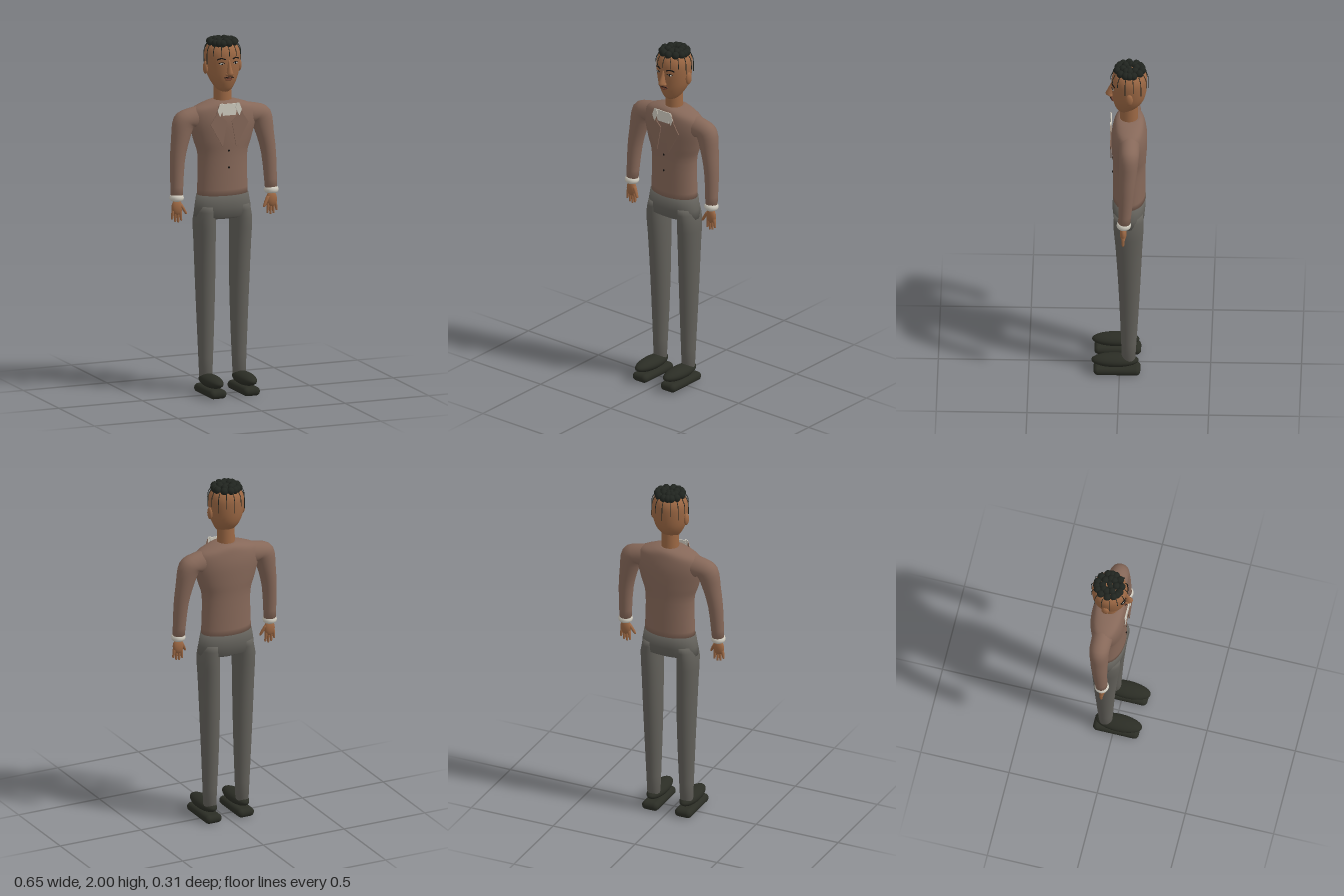
import * as THREE from 'three';
import { RoundedBoxGeometry } from 'three/addons/geometries/RoundedBoxGeometry.js';

const mat = (name, color, side = THREE.FrontSide) => {
  const m = new THREE.MeshStandardMaterial({ color, side });
  m.name = name;
  return m;
};

// Closed body through rings [x, y, z, rx, rz, tilt], listed from bottom to top.
function loft(rings, n = 32, steps = 1, power = 1) {
  const list = [];
  for (let i = 0; i < rings.length - 1; i++) {
    const at = k => rings[Math.min(Math.max(k, 0), rings.length - 1)];
    for (let s = 0; s < steps; s++) {
      const t = s / steps;
      list.push([0, 1, 2, 3, 4, 5].map(c => {
        const [a, b, d, e] = [at(i - 1), at(i), at(i + 1), at(i + 2)].map(r => r[c] || 0);
        return b + 0.5 * t * (d - a + t * (2 * a - 5 * b + 4 * d - e + t * (3 * (b - d) + e - a)));
      }));
    }
  }
  list.push(rings[rings.length - 1]);
  const pos = [], idx = [];
  for (const [x, y, z, rx, rz, tilt = 0] of list) {
    for (let j = 0; j < n; j++) {
      const a = j / n * Math.PI * 2, c = Math.cos(a), s = Math.sin(a);
      const u = Math.sign(c) * Math.abs(c) ** power * rx;
      pos.push(x + u * Math.cos(tilt), y + u * Math.sin(tilt), z + Math.sign(s) * Math.abs(s) ** power * rz);
    }
  }
  for (let i = 0; i < list.length - 1; i++) {
    for (let j = 0; j < n; j++) {
      const a = i * n + j, b = i * n + (j + 1) % n;
      idx.push(a, a + n, b, b, a + n, b + n);
    }
  }
  // End caps
  const first = list[0], last = list[list.length - 1], top = (list.length - 1) * n, c = list.length * n;
  pos.push(...first.slice(0, 3), ...last.slice(0, 3));
  for (let j = 0; j < n; j++) {
    const k = (j + 1) % n;
    idx.push(c, j, k, c + 1, top + k, top + j);
  }
  const g = new THREE.BufferGeometry();
  g.setAttribute('position', new THREE.Float32BufferAttribute(pos, 3));
  g.setIndex(idx);
  g.computeVertexNormals();
  return g;
}

const tube = (pts, r, seg = 8) => new THREE.TubeGeometry(
  new THREE.CatmullRomCurve3(pts.map(p => new THREE.Vector3(...p))), seg, r, 6);

function plate(points, depth = 0.005) {
  const shape = new THREE.Shape(points.map(p => new THREE.Vector2(...p)));
  return new THREE.ExtrudeGeometry(shape, { depth, bevelEnabled: false });
}

export function createModel() {
  const model = new THREE.Group();
  const jacket = mat('jacket brown', 0x866859), trousers = mat('trouser grey', 0x62605a);
  const skin = mat('skin', 0x9c6844), black = mat('hair black', 0x20241f);
  const leather = mat('shoe black', 0x2b2d25), white = mat('shirt white', 0xd0ccc0);
  const dark = mat('dark detail', 0x14110f), lip = mat('lip brown', 0x6e3f2e);

  const add = (name, geometry, material, p = [0, 0, 0]) => {
    const m = new THREE.Mesh(geometry, material);
    m.name = name;
    m.position.set(...p);
    model.add(m);
    return m;
  };
  const ball = (name, material, p, s, seg = 16) => {
    const m = add(name, new THREE.SphereGeometry(1, seg, Math.ceil(seg * 0.7)), material, p);
    m.scale.set(...s);
    return m;
  };

  // Jacket body and trouser seat
  add('jacket', loft([
    [0, 1.11, -0.052, 0.148, 0.09], [0, 1.33, -0.052, 0.143, 0.09], [0, 1.43, -0.052, 0.17, 0.096],
    [0, 1.53, -0.052, 0.195, 0.098], [0, 1.6, -0.052, 0.185, 0.088], [0, 1.635, -0.052, 0.11, 0.076],
    [0, 1.65, -0.052, 0.05, 0.055],
  ], 40, 4), jacket);
  add('trouserSeat', loft([
    [0, 0.985, -0.05, 0.12, 0.06], [0, 1.0, -0.05, 0.166, 0.085], [0, 1.05, -0.05, 0.162, 0.09],
    [0, 1.12, -0.052, 0.149, 0.091],
  ], 40, 1, 0.9), trousers);

  // Neck and head
  add('neck', new THREE.CylinderGeometry(0.048, 0.05, 0.13, 24), skin, [0, 1.695, -0.05]);
  add('head', loft([
    [0, 1.695, -0.03, 0.02, 0.025], [0, 1.715, -0.03, 0.045, 0.048], [0, 1.76, -0.043, 0.073, 0.078],
    [0, 1.81, -0.05, 0.091, 0.092], [0, 1.88, -0.052, 0.1, 0.098], [0, 1.93, -0.053, 0.096, 0.094],
    [0, 1.965, -0.054, 0.072, 0.072], [0, 1.98, -0.054, 0.02, 0.02],
  ], 32, 4), skin);
  add('nose', loft([
    [0, 1.798, 0.045, 0.012, 0.015], [0, 1.806, 0.053, 0.019, 0.025], [0, 1.82, 0.054, 0.016, 0.023],
    [0, 1.85, 0.047, 0.01, 0.016], [0, 1.885, 0.038, 0.006, 0.01],
  ], 16, 2), skin);
  ball('upperLip', lip, [0, 1.786, 0.04], [0.028, 0.006, 0.014]);
  ball('lowerLip', lip, [0, 1.774, 0.037], [0.022, 0.006, 0.012]);
  add('moustache', tube([[-0.028, 1.785, 0.043], [0, 1.793, 0.054], [0.028, 1.785, 0.043]], 0.0025), dark);

  // Curled hair on the crown
  for (const [count, radius, y, size] of [[14, 0.068, 1.971, 0.022], [8, 0.038, 1.979, 0.021], [2, 0.008, 1.974, 0.018]]) {
    for (let i = 0; i < count; i++) {
      const a = (i + 0.3 * Math.sin(i * 5)) / count * Math.PI * 2;
      ball('hairCurl', black, [Math.cos(a) * radius, y, -0.054 + Math.sin(a) * radius], [size, size, size], 12);
    }
  }
  // Loose strands around the head
  for (let i = 0; i < 14; i++) {
    const a = (i + 0.5) / 14 * Math.PI * 2, c = Math.cos(a), s = Math.sin(a);
    const low = s > 0.3 ? 1.905 : 1.865 + 0.015 * Math.sin(i * 3);
    add('hairStrand', tube([[0.085, 1.962], [0.1, 1.935], [0.104, low]]
      .map(([r, y]) => [c * r, y, -0.053 + s * r]), 0.002), black);
  }

  // Shirt front, buttons
  add('shirtFront', plate([[-0.05, 1.64], [-0.038, 1.575], [0.038, 1.575], [0.05, 1.64]]), white, [0, 0, 0.044]);
  for (const y of [1.375, 1.28]) ball('button', dark, [0, y, 0.041], [0.006, 0.006, 0.004], 10);

  for (const s of [1, -1]) {
    // Face
    ball('ear', skin, [s * 0.1, 1.833, -0.053], [0.013, 0.036, 0.021]);
    ball('eyeWhite', white, [s * 0.04, 1.865, 0.036], [0.013, 0.006, 0.006]);
    ball('iris', dark, [s * 0.04, 1.865, 0.041], [0.005, 0.005, 0.003], 10);
    add('eyelid', tube([[s * 0.024, 1.867, 0.043], [s * 0.04, 1.874, 0.043], [s * 0.057, 1.867, 0.033]], 0.002), dark);
    add('eyebrow', tube([[s * 0.02, 1.889, 0.044], [s * 0.042, 1.896, 0.039], [s * 0.064, 1.888, 0.026]], 0.0035), dark);
    ball('nostrilWing', skin, [s * 0.015, 1.806, 0.05], [0.009, 0.008, 0.012], 12);

    // Collar and lapel
    add('collar', plate([[0.042, 1.645], [0.036, 1.615], [0.058, 1.57], [0.072, 1.605], [0.058, 1.642]]
      .map(([x, y]) => [s * x, y])), white, [0, 0, 0.049]);
    add('lapel', plate([[0.062, 1.635], [0.055, 1.58], [0.014, 1.54], [0.04, 1.4], [0.113, 1.53], [0.08, 1.58]]
      .map(([x, y]) => [s * x, y])), jacket, [0, 0, 0.046]);

    // Sleeve, cuff
    add('sleeve', loft([
      [s * 0.282, 1.13, -0.03, 0.034, 0.033], [s * 0.273, 1.32, -0.042, 0.041, 0.042],
      [s * 0.25, 1.45, -0.05, 0.053, 0.05], [s * 0.228, 1.535, -0.055, 0.064, 0.055, s * 0.5],
      [s * 0.18, 1.55, -0.055, 0.064, 0.057, s * 1.2], [s * 0.1, 1.56, -0.055, 0.066, 0.06, s * 1.4],
    ], 28, 3), jacket);
    const cuff = add('cuff', new THREE.TorusGeometry(0.027, 0.013, 10, 24), white, [s * 0.283, 1.12, -0.028]);
    cuff.rotation.x = Math.PI / 2;
    cuff.scale.z = 1.4;

    // Hand
    ball('palm', skin, [s * 0.283, 1.065, -0.025], [0.032, 0.045, 0.019]);
    [0, 1, 2, 3].forEach(i => {
      const x = 0.264 + i * 0.014, out = (i - 1.5) * 0.004, low = [0.99, 0.982, 0.986, 1.0][i];
      add('finger', loft([
        [s * (x + out), low, -0.024, 0.003, 0.003], [s * (x + out), low + 0.005, -0.024, 0.006, 0.007],
        [s * x, 1.05, -0.025, 0.009, 0.011],
      ], 10, 2), skin);
    });
    add('thumb', loft([
      [s * 0.232, 1.026, -0.012, 0.004, 0.004], [s * 0.236, 1.034, -0.013, 0.008, 0.008],
      [s * 0.248, 1.058, -0.018, 0.01, 0.01], [s * 0.266, 1.085, -0.024, 0.013, 0.012],
    ], 12, 2), skin);

    // Trouser leg
    add('trouserLeg', loft([
      [s * 0.1, 0.09, -0.05, 0.036, 0.037], [s * 0.1, 0.35, -0.053, 0.046, 0.049],
      [s * 0.102, 0.6, -0.054, 0.054, 0.061], [s * 0.106, 0.85, -0.052, 0.059, 0.074],
      [s * 0.109, 0.98, -0.05, 0.06, 0.083], [s * 0.1, 1.06, -0.05, 0.05, 0.08],
    ], 28, 2), trousers);

    // Shoe
    add('shoeSole', new RoundedBoxGeometry(0.1, 0.05, 0.258, 5, 0.0245), leather, [s * 0.1, 0.025, 0.014]);
    ball('shoeUpper', leather, [s * 0.1, 0.082, 0.025], [0.051, 0.036, 0.131], 24);
  }
  return model;
}
